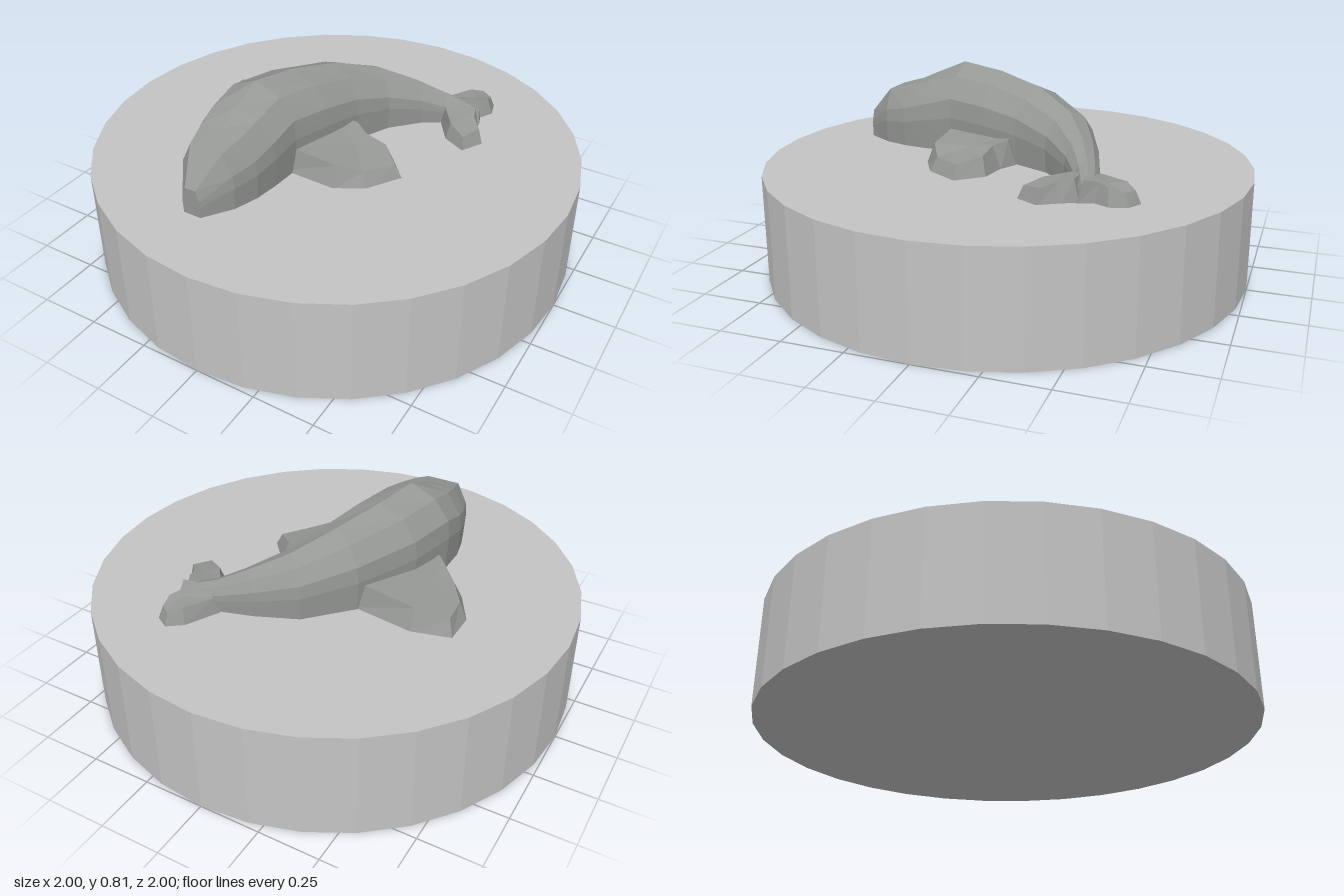
import * as THREE from 'three';

const BASE_TOP = 0.445;
const FLOOR = 0.44; // animal parts sink slightly into the base

// Flat-shaded mesh from a list of triangle corner points
function facetMesh(name, corners, material) {
  const geometry = new THREE.BufferGeometry().setFromPoints(corners);
  geometry.computeVertexNormals();
  const mesh = new THREE.Mesh(geometry, material);
  mesh.name = name;
  return mesh;
}

// Half-width and height fractions around a body section, -x side to +x side
function ring([lx, lz, rx, rz, top, shoulder]) {
  const h = top - FLOOR;
  const profile = [
    [-0.95, 0], [-1, 0.42], [-0.95, 0.64], [-0.6, shoulder], [0, 1],
    [0.6, shoulder], [0.95, 0.64], [1, 0.42], [0.95, 0],
  ];
  return profile.map(([u, v]) => new THREE.Vector3(
    (lx + rx) / 2 + (u * (rx - lx)) / 2,
    FLOOR + v * h,
    (lz + rz) / 2 + (u * (rz - lz)) / 2,
  ));
}

// Body lofted through sections from nose to tail
function makeBody(material) {
  // each: -x edge (x, z), +x edge (x, z), top height, shoulder fraction
  const rings = [
    [-0.24, 0.71, -0.16, 0.71, 0.56, 1],
    [-0.32, 0.6, -0.08, 0.6, 0.675, 1],
    [-0.355, 0.5, -0.045, 0.5, 0.705, 0.99],
    [-0.378, 0.4, -0.03, 0.4, 0.75, 0.93],
    [-0.38, 0.27, -0.02, 0.27, 0.805, 0.87],
    [-0.33, 0.07, 0.03, 0.1, 0.785, 0.88],
    [-0.2, -0.18, 0.07, -0.05, 0.745, 0.88],
    [-0.04, -0.35, 0.14, -0.2, 0.68, 0.88],
    [0.13, -0.42, 0.24, -0.31, 0.615, 0.88],
    [0.27, -0.46, 0.33, -0.37, 0.56, 0.88],
    [0.38, -0.48, 0.45, -0.42, 0.52, 0.9],
  ].map(ring);
  const tris = [];
  for (let i = 0; i < rings.length - 1; i++) {
    const p = rings[i], q = rings[i + 1];
    for (let j = 0; j < p.length - 1; j++) {
      tris.push(p[j], p[j + 1], q[j + 1], p[j], q[j + 1], q[j]);
    }
  }
  // nose and tail caps
  const nose = rings[0], tail = rings[rings.length - 1];
  for (let j = 1; j < nose.length - 1; j++) {
    tris.push(nose[0], nose[j + 1], nose[j], tail[0], tail[j], tail[j + 1]);
  }
  return facetMesh('body', tris, material);
}

// Flipper with bevelled sides; outline is [x, z, top height], clockwise from above
function makeFlipper(name, outline, inset, material) {
  const n = outline.length;
  const centre = new THREE.Vector3();
  outline.forEach(([x, z, y]) => centre.add(new THREE.Vector3(x, y, z)));
  centre.divideScalar(n);
  const low = outline.map(([x, z]) => new THREE.Vector3(x, FLOOR, z));
  const high = outline.map(([x, z, y]) => {
    const p = new THREE.Vector3(x, y, z);
    const inward = centre.clone().sub(p).setY(0).setLength(inset);
    return p.add(inward);
  });
  const tris = [];
  for (let j = 0; j < n; j++) {
    const k = (j + 1) % n;
    tris.push(low[j], high[j], low[k], low[k], high[j], high[k]);
    tris.push(centre, high[k], high[j]);
  }
  return facetMesh(name, tris, material);
}

export function createModel() {
  const stone = new THREE.MeshStandardMaterial({ color: 0xc4c4c4 });
  stone.name = 'light grey base';
  stone.flatShading = true;
  const hide = new THREE.MeshStandardMaterial({ color: 0x959895 });
  hide.name = 'grey hide';
  hide.flatShading = true;

  const model = new THREE.Group();
  model.name = 'sealOnBase';

  // Round base
  const base = new THREE.Mesh(new THREE.CylinderGeometry(1, 1, BASE_TOP, 32), stone);
  base.name = 'base';
  base.position.y = BASE_TOP / 2;
  model.add(base);

  // Animal lying on the base
  model.add(makeBody(hide));
  model.add(makeFlipper('leftFlipper', [
    [-0.05, -0.05, 0.55], [0.07, -0.06, 0.55], [0.15, -0.02, 0.54], [0.27, 0, 0.52],
    [0.36, 0.1, 0.5], [0.27, 0.24, 0.5], [0.16, 0.3, 0.53], [-0.08, 0.29, 0.55],
  ], 0.035, hide));
  model.add(makeFlipper('rightFlipper', [
    [-0.3, 0.29, 0.54], [-0.37, 0.24, 0.54], [-0.52, 0.11, 0.52], [-0.6, -0.03, 0.51],
    [-0.6, -0.17, 0.51], [-0.44, -0.21, 0.53], [-0.16, -0.17, 0.55],
  ], 0.04, hide));
  model.add(makeFlipper('rearRightFlipper', [
    [0.26, -0.46, 0.51], [0.33, -0.6, 0.51], [0.39, -0.645, 0.495], [0.45, -0.61, 0.495],
    [0.47, -0.54, 0.51], [0.44, -0.48, 0.52], [0.46, -0.42, 0.53], [0.34, -0.4, 0.53],
  ], 0.025, hide));
  model.add(makeFlipper('rearLeftFlipper', [
    [0.34, -0.43, 0.53], [0.45, -0.43, 0.53], [0.48, -0.37, 0.52], [0.53, -0.29, 0.505],
    [0.48, -0.2, 0.495], [0.38, -0.25, 0.51], [0.3, -0.37, 0.52],
  ], 0.025, hide));

  return model;
}
